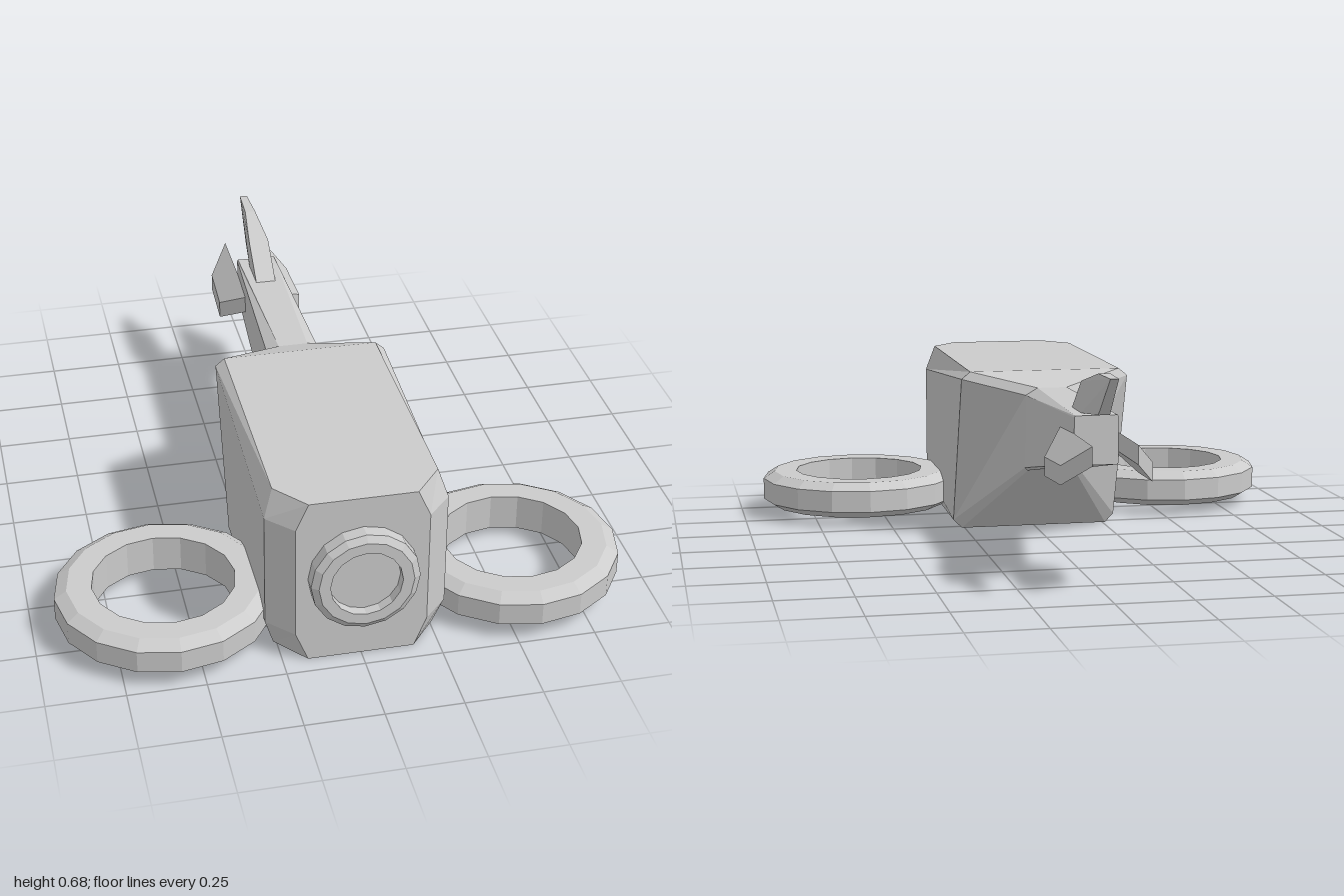
import * as THREE from 'three';

const material = new THREE.MeshStandardMaterial({ color: 0xcccccc, flatShading: true });

function addMesh(group, name, geometry) {
  const mesh = new THREE.Mesh(geometry, material);
  mesh.name = name;
  group.add(mesh);
  return mesh;
}

// Skins sections listed front to back; each holds the right half from bottom to top and is mirrored
function loft(halves) {
  const rings = halves.map(h => [...h, ...[...h].reverse().map(([x, y, z]) => [-x, y, z])]);
  const n = rings[0].length;
  const out = [];
  const tri = (...points) => points.forEach(p => out.push(...p));
  for (let i = 0; i < rings.length - 1; i++) {
    for (let j = 0; j < n; j++) {
      const k = (j + 1) % n;
      const [a, b, c, d] = [rings[i][j], rings[i][k], rings[i + 1][k], rings[i + 1][j]];
      tri(a, d, c);
      tri(a, c, b);
    }
  }
  const first = rings[0], last = rings[rings.length - 1];
  for (let j = 1; j < n - 1; j++) {
    tri(first[0], first[j], first[j + 1]);
    tri(last[0], last[j + 1], last[j]);
  }
  const g = new THREE.BufferGeometry();
  g.setAttribute('position', new THREE.Float32BufferAttribute(out, 3));
  g.computeVertexNormals();
  return g;
}

// Extrudes an outline by one unit, then places every vertex by a rule
function prism(outline, place) {
  const shape = new THREE.Shape(outline.map(([u, v]) => new THREE.Vector2(u, v)));
  const g = new THREE.ExtrudeGeometry(shape, { depth: 1, bevelEnabled: false });
  const p = g.attributes.position;
  for (let i = 0; i < p.count; i++) p.setXYZ(i, ...place(p.getX(i), p.getY(i), p.getZ(i)));
  g.computeVertexNormals();
  return g;
}

function lathe(profile) {
  const g = new THREE.LatheGeometry(profile.map(([r, y]) => new THREE.Vector2(r, y)), 16).toNonIndexed();
  g.computeVertexNormals();
  return g;
}

export function createModel() {
  const model = new THREE.Group();
  model.name = 'aircraft';

  // Chamfered hull narrowing to the tail root
  const root = [[0.08, 0.25, -0.07], [0.09, 0.26, -0.07], [0.09, 0.51, -0.085], [0.05, 0.535, -0.09]];
  addMesh(model, 'hull', loft([
    [[0.17, 0, 0.94], [0.21, 0.1, 0.94], [0.21, 0.49, 0.94], [0.17, 0.58, 0.94]],
    [[0.26, 0, 0.83], [0.29, 0.1, 0.855], [0.29, 0.49, 0.855], [0.26, 0.58, 0.83]],
    [[0.26, 0, 0.225], [0.29, 0.03, 0.225], [0.29, 0.555, 0.03], [0.26, 0.58, 0.03]],
    root,
  ]));

  // Tail boom
  addMesh(model, 'tailBoom', loft([
    root,
    [[0.065, 0.38, -0.75], [0.07, 0.385, -0.75], [0.07, 0.53, -0.75], [0.067, 0.535, -0.75]],
  ]));

  // Round nose port with a shallow recess
  const port = addMesh(model, 'nosePort', lathe([
    [0.172, 0], [0.172, 0.045], [0.15, 0.06], [0.114, 0.06], [0.114, 0.025], [0, 0.025],
  ]));
  port.rotation.x = Math.PI / 2;
  port.position.set(0, 0.305, 0.94);

  // Upright fin, thinner towards the rear
  const halfThickness = z => THREE.MathUtils.mapLinear(THREE.MathUtils.clamp(z, -0.9, -0.69), -0.9, -0.69, 0.013, 0.035);
  addMesh(model, 'topFin', prism(
    [[0.56, 0.535], [0.69, 0.635], [0.85, 0.677], [0.985, 0.677], [0.85, 0.55], [0.69, 0.535]],
    (u, v, w) => [(2 * w - 1) * halfThickness(-u), v, -u],
  ));

  for (const [side, s] of [['left', 1], ['right', -1]]) {
    // Ring duct beside the hull
    const ring = addMesh(model, side + 'RingDuct', lathe([
      [0.23, 0.03], [0.31, 0.03], [0.35, 0.055], [0.35, 0.13], [0.31, 0.155], [0.23, 0.155], [0.23, 0.03],
    ]));
    ring.position.set(s * 0.575, 0, 0.64);

    // Drooping tail fin
    addMesh(model, side + 'TailFin', prism(
      [[0.07, 0.56], [0.15, 0.685], [0.143, 0.89], [0.07, 1]].map(([x, u]) => [s * x, u]),
      (u, v, w) => [u, 0.42 + 0.06 * w - (Math.abs(u) - 0.07) * 1.0, -v],
    ));
  }
  return model;
}
